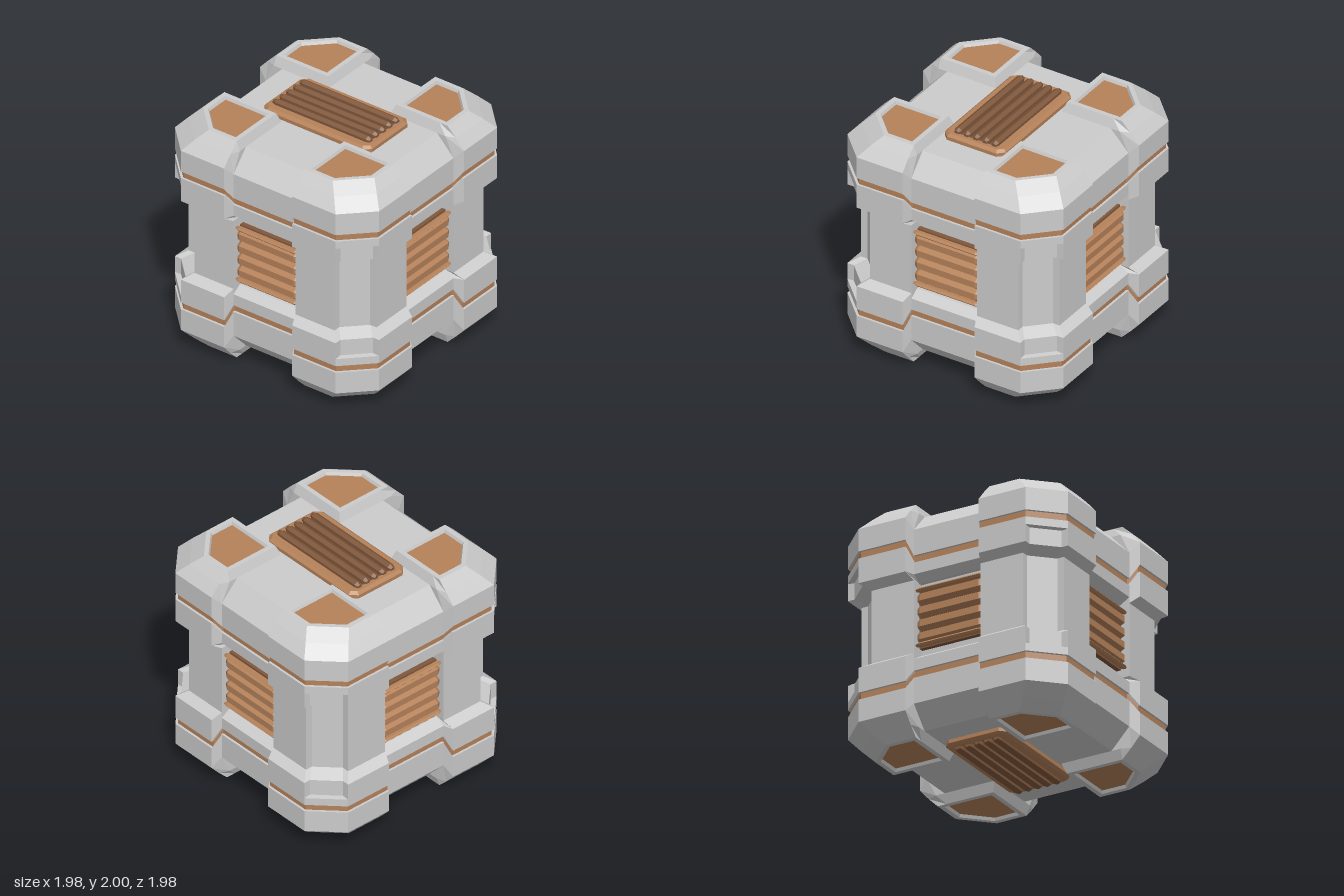
import * as THREE from 'three';

const grey = new THREE.MeshStandardMaterial({ color: 0xcccccc, flatShading: true });
const brown = new THREE.MeshStandardMaterial({ color: 0xb5825a, flatShading: true });
const darkBrown = new THREE.MeshStandardMaterial({ color: 0x80583c, flatShading: true });

function mesh(name, geometry, material, x = 0, y = 0, z = 0) {
  const m = new THREE.Mesh(geometry, material);
  m.name = name;
  m.position.set(x, y, z);
  return m;
}

// Plan outline of one corner: X outer face, c start of the chamfer, r notch depth,
// a edge of the outer face, k inner wall, drop lowers the inner wall points
function outline({ y, X, c, r = X, a = 0.33, k = 0.3, drop = 0 }) {
  const b = X - 0.08, low = y - drop;
  return [[k, low, k], [b, low, k], [X, y, a], [X, y, c], [r, y, c],
    [c, y, r], [c, y, X], [a, y, X], [k, low, b]].map(p => new THREE.Vector3(...p));
}

function toGeometry(triangles) {
  const points = triangles.filter(t => new THREE.Triangle(...t).getArea() > 1e-7).flat();
  const g = new THREE.BufferGeometry().setFromPoints(points);
  g.computeVertexNormals();
  return g;
}

// Skin running down through the levels
function loft(levels) {
  const rings = levels.map(outline), tris = [];
  for (let j = 0; j + 1 < rings.length; j++) {
    const p = rings[j], q = rings[j + 1];
    for (let i = 0; i < p.length; i++) {
      const n = (i + 1) % p.length;
      tris.push([p[i], p[n], q[i]], [p[n], q[n], q[i]]);
    }
  }
  return toGeometry(tris);
}

function cap(level) {
  const p = outline(level), tris = [];
  for (let i = 1; i + 1 < p.length; i++) tris.push([p[0], p[i + 1], p[i]]);
  return toGeometry(tris);
}

// Six-sided bar along x with tapered ends
function bar(half, r) {
  const pts = [[0, -half], [r * 0.6, -half], [r, 0.03 - half], [r, half - 0.03], [r * 0.6, half], [0, half]];
  return new THREE.LatheGeometry(pts.map(p => new THREE.Vector2(...p)), 6).rotateZ(Math.PI / 2);
}

function chamferedRect(w, h, c, Type = THREE.Shape) {
  return new Type([[w, h - c], [w - c, h], [c - w, h], [-w, h - c], [-w, c - h], [c - w, -h], [w - c, -h], [w, c - h]]
    .map(p => new THREE.Vector2(...p)));
}

function cornerBlock() {
  const g = new THREE.Group();
  g.name = 'cornerBlock';
  const floor = { y: 0.965, X: 0.78, c: 0.585, a: 0.38, k: 0.38 };
  const full = { X: 0.99, c: 0.75 }, slot = { X: 0.97, c: 0.74, drop: 0.11 };
  g.add(mesh('cornerCap', loft([
    floor,
    { y: 0.99, X: 0.79, c: 0.59, a: 0.37, k: 0.37 },
    { y: 0.99, X: 0.83, c: 0.6, k: 0.33 },
    { y: 0.91, X: 0.91, c: 0.675 },
    { ...full, y: 0.82, drop: 0.08 },
    { ...full, y: 0.63, drop: 0.11 },
    { ...slot, y: 0.63 },
  ]), grey));
  g.add(mesh('cornerInset', cap(floor), brown));
  g.add(mesh('cornerStripe', loft([{ ...slot, y: 0.63 }, { ...slot, y: 0.57 }]), brown));
  // Lower collar with notched chamfer, running into the pillar
  const pillar = { X: 0.91, c: 0.68, r: 0.85, a: 0.3 };
  g.add(mesh('collarAndPillar', loft([
    { ...slot, y: 0.57 },
    { ...full, y: 0.57, drop: 0.11 },
    { ...full, y: 0.505, drop: 0.08 },
    { ...full, y: 0.5, r: 0.93, drop: 0.08 },
    { ...full, y: 0.36, r: 0.93 },
    { ...pillar, y: 0.31 },
    { ...pillar, y: 0 },
  ]), grey));
  return g;
}

function sidePanel() {
  const g = new THREE.Group();
  g.name = 'sidePanel';
  // Upper and lower beams with the recess between, as one profile
  const half = [[0.32, 0.91], [0.75, 0.91], [0.91, 0.74], [0.91, 0.52], [0.86, 0.52],
    [0.86, 0.46], [0.91, 0.46], [0.91, 0.36], [0.83, 0.31], [0.8, 0.31]];
  const profile = [...half, ...half.map(([z, y]) => [z, -y]).reverse()];
  const shape = new THREE.Shape(profile.map(p => new THREE.Vector2(...p)));
  const geo = new THREE.ExtrudeGeometry(shape, { depth: 0.64, bevelEnabled: false });
  geo.translate(0, 0, -0.32).rotateY(-Math.PI / 2);
  g.add(mesh('beams', geo, grey));
  for (const s of [1, -1]) {
    g.add(mesh('beamStripe', new THREE.BoxGeometry(0.64, 0.06, 0.04), brown, 0, s * 0.49, 0.87));
    const edge = mesh('ventEdge', bar(0.3, 0.018), brown, 0, s * 0.233, 0.87);
    edge.scale.z = 1.6;
    g.add(edge);
  }
  // Vent backing and slats
  g.add(mesh('ventBack', new THREE.BoxGeometry(0.58, 0.5, 0.06), darkBrown, 0, 0, 0.81));
  for (let i = 0; i < 4; i++) {
    g.add(mesh('ventSlat', bar(0.295, 0.055), brown, 0, 0.165 - i * 0.11, 0.84));
  }
  // Turn the slats so a flat face points outward
  g.children.filter(m => m.name === 'ventSlat').forEach(m => {
    m.geometry.computeBoundingBox();
    const b = m.geometry.boundingBox;
    if (b.max.z > b.max.y) m.geometry.rotateX(Math.PI / 2);
  });
  return g;
}

function topGrille() {
  const g = new THREE.Group();
  g.name = 'grille';
  const frame = chamferedRect(0.495, 0.255, 0.04);
  frame.holes.push(chamferedRect(0.5, 0.24, 0.04, THREE.Path));
  frame.holes[0] = chamferedRect(0.46, 0.2, 0.03, THREE.Path);
  const geo = new THREE.ExtrudeGeometry(frame, {
    depth: 0.03, bevelThickness: 0.02, bevelSize: 0.025, bevelSegments: 1,
  });
  geo.rotateX(-Math.PI / 2);
  g.add(mesh('grilleFrame', geo, brown, 0, 0.91, 0));
  g.add(mesh('grilleFloor', new THREE.BoxGeometry(0.98, 0.03, 0.46), darkBrown, 0, 0.915, 0));
  for (let i = -2; i <= 2; i++) {
    const rod = bar(0.47, 0.035);
    rod.computeBoundingBox();
    if (rod.boundingBox.max.y < 0.0345) rod.rotateX(Math.PI / 2);
    g.add(mesh('grilleRod', rod, darkBrown, 0, 0.965, i * 0.085));
  }
  return g;
}

export function createModel() {
  const model = new THREE.Group();
  model.name = 'crate';
  const body = new THREE.Group();
  body.name = 'body';
  body.position.y = 1;
  model.add(body);

  body.add(mesh('core', new THREE.BoxGeometry(0.64, 1.82, 0.64), grey));

  // Four sides
  for (let i = 0; i < 4; i++) {
    const side = sidePanel();
    side.rotation.y = i * Math.PI / 2;
    body.add(side);
  }

  // Upper half, and the same turned over for the lower half
  for (const [name, turn] of [['upperHalf', 0], ['lowerHalf', Math.PI]]) {
    const half = new THREE.Group();
    half.name = name;
    half.rotation.x = turn;
    for (let i = 0; i < 4; i++) {
      const corner = cornerBlock();
      corner.rotation.y = i * Math.PI / 2;
      half.add(corner);
    }
    half.add(topGrille());
    body.add(half);
  }
  return model;
}
